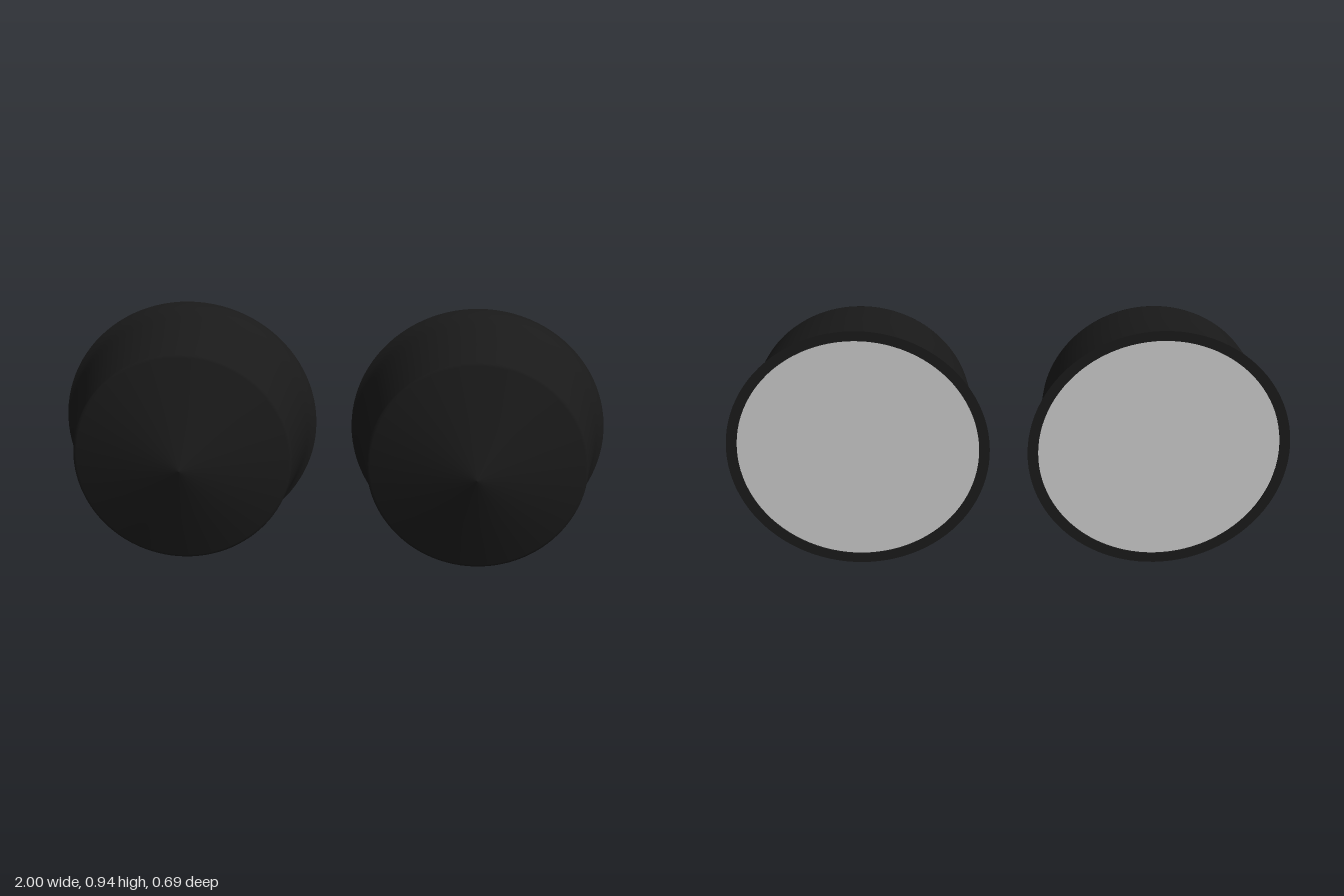
import * as THREE from 'three';

const RIM = 0.471;   // outer radius of the flared rim
const GLASS = 0.433; // radius of the glass disc
const SEGMENTS = 96;

const black = new THREE.MeshStandardMaterial({ color: 0x1a1a1a });
const grey = new THREE.MeshStandardMaterial({ color: 0xcccccc });

// Revolve [radius, distance] pairs around the z axis
function revolve(profile) {
  const points = profile.map(([r, d]) => new THREE.Vector2(r, d));
  return new THREE.LatheGeometry(points, SEGMENTS).rotateX(Math.PI / 2);
}

function addPart(parent, name, geometry, material) {
  const mesh = new THREE.Mesh(geometry, material);
  mesh.name = name;
  parent.add(mesh);
}

// One round mirror: the glass faces -z, the housing's shallow cone points to +z
function createMirror(name) {
  const mirror = new THREE.Group();
  mirror.name = name;

  // Tapered shell with a flared lip and a pointed end
  addPart(mirror, 'housing', revolve([
    [RIM, 0], [0.464, 0.006], [0.455, 0.017], [0.449, 0.03], [0.445, 0.045],
    [0.437, 0.08], [0.416, 0.225], [0.397, 0.364], [0.394, 0.373],
    [0.385, 0.377], [0.2, 0.438], [0, 0.502],
  ]), black);

  // Flat lip around the glass, with a small step down to it
  addPart(mirror, 'rim', revolve([[GLASS, 0], [RIM, 0]]), black);
  mirror.children[1].material = black.clone();
  mirror.children[1].material.side = THREE.DoubleSide;
  addPart(mirror, 'rimStep',
    new THREE.CylinderGeometry(GLASS, GLASS, 0.006, SEGMENTS, 1, true)
      .rotateX(Math.PI / 2).translate(0, 0, 0.003),
    mirror.children[1].material);

  // Reflecting disc
  addPart(mirror, 'glass',
    new THREE.CircleGeometry(GLASS, SEGMENTS).rotateY(Math.PI).translate(0, 0, 0.005), grey);
  return mirror;
}

export function createModel() {
  const model = new THREE.Group();
  model.name = 'mirrorPair';

  // Each mirror is turned a little differently about the vertical
  const placements = [
    { name: 'leftMirror', x: 0.533, z: -0.282, degrees: 7.6 },
    { name: 'rightMirror', x: -0.535, z: -0.15, degrees: 9.6 },
  ];
  for (const { name, x, z, degrees } of placements) {
    const mirror = createMirror(name);
    mirror.position.set(x, RIM, z);
    mirror.rotation.y = THREE.MathUtils.degToRad(degrees);
    model.add(mirror);
  }
  return model;
}
